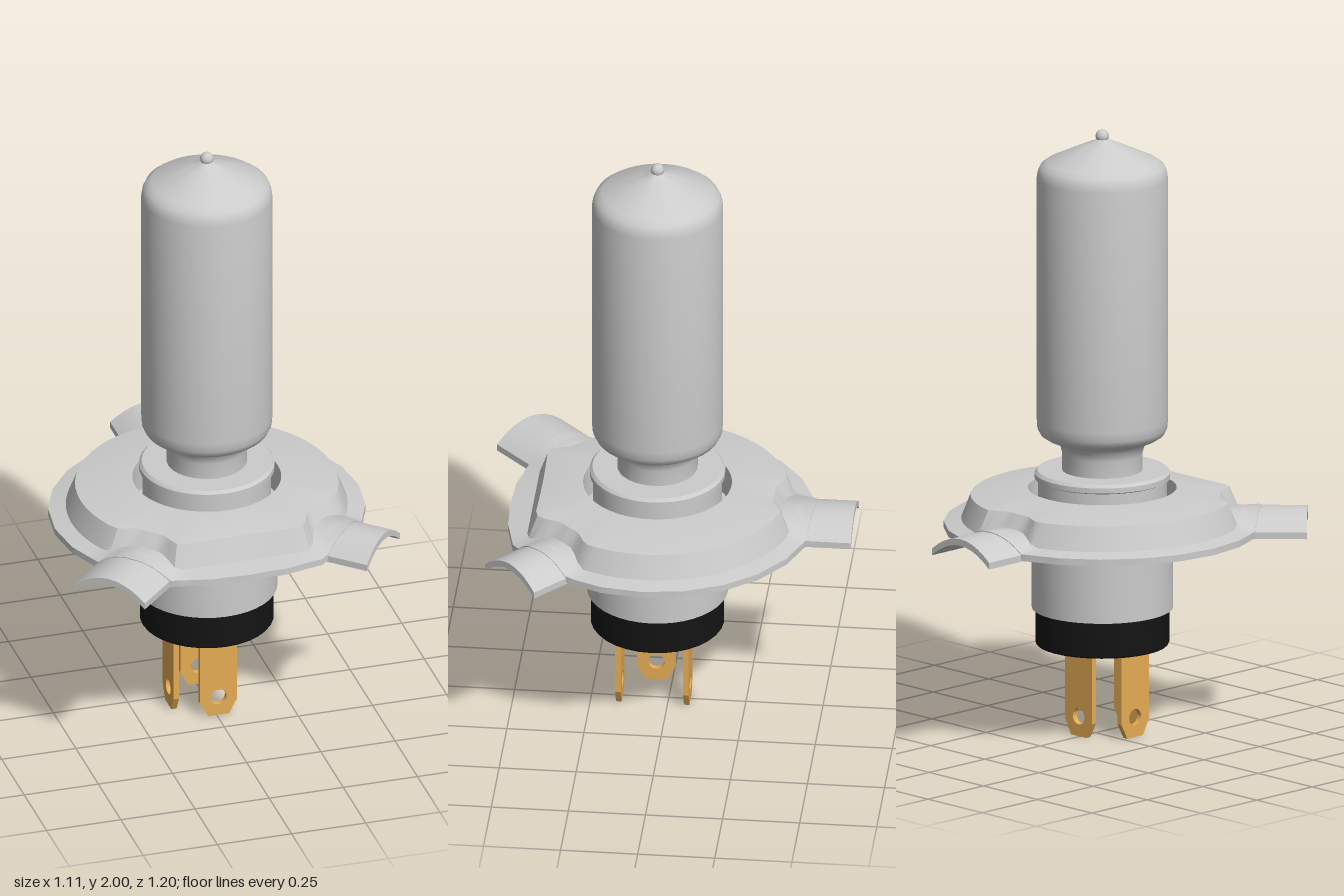
import * as THREE from 'three';
import { toCreasedNormals } from 'three/addons/utils/BufferGeometryUtils.js';

const grey = new THREE.MeshStandardMaterial({ color: 0xcccccc });
const black = new THREE.MeshStandardMaterial({ color: 0x141414 });
const brass = new THREE.MeshStandardMaterial({ color: 0xe6ac55 });

// Locating tabs: heading from +z, half width, reach from the axis
const TABS = [
  { angle: 0.82, half: 0.12, reach: 0.635 },
  { angle: -0.79, half: 0.131, reach: 0.662 },
  { angle: Math.PI, half: 0.132, reach: 0.64 },
];
const ARCH = 0.055;
const clamp = THREE.MathUtils.clamp;

function mesh(name, geometry, material = grey) {
  const m = new THREE.Mesh(geometry, material);
  m.name = name;
  return m;
}

// Turned part, with creases kept sharp
function lathe(name, profile, material, segments = 40) {
  const pts = profile.map(([r, y]) => new THREE.Vector2(r, y));
  return mesh(name, toCreasedNormals(new THREE.LatheGeometry(pts, segments), 0.6), material);
}

// Skin over rows of points; each row is a closed loop of equal length
function skin(rows, closed) {
  const n = rows[0].length, index = [];
  const last = closed ? rows.length : rows.length - 1;
  for (let i = 0; i < last; i++) {
    const k = (i + 1) % rows.length;
    for (let j = 0; j < n; j++) {
      const l = (j + 1) % n;
      const a = i * n + j, b = i * n + l, c = k * n + l, d = k * n + j;
      index.push(a, c, b, a, d, c);
    }
  }
  const g = new THREE.BufferGeometry();
  g.setAttribute('position', new THREE.Float32BufferAttribute(rows.flat(2), 3));
  g.setIndex(index);
  return toCreasedNormals(g, 0.5);
}

// Height of the tab arches where they run into the plate
function archAt(x, z) {
  let h = 0;
  for (const { angle, half } of TABS) {
    const s = Math.sin(angle), c = Math.cos(angle);
    const u = (x * c - z * s) / half, v = x * s + z * c;
    if (Math.abs(u) < 1) h = Math.max(h, ARCH * (1 - u * u) * clamp((v - 0.28) / 0.2, 0, 1));
  }
  return h;
}

// 24-sided rim, slightly flattened at the front
function rimRadius(t) {
  const step = Math.PI / 12;
  const off = Math.abs(t % step) - step / 2;
  const r = 0.512 * Math.cos(step / 2) / Math.cos(off);
  return Math.abs(t) < Math.PI / 6 ? r - 0.032 * Math.cos(3 * t) : r;
}

// Raised centre: round, flat at the front, notched at each tab
function domeRadius(t) {
  let r = 0.455;
  if (Math.cos(t) > 0.5) r = Math.min(r, 0.402 / Math.cos(t));
  for (const { angle } of TABS) {
    const d = Math.abs(Math.atan2(Math.sin(t - angle), Math.cos(t - angle)));
    r -= 0.045 * clamp((0.27 - d) / 0.15, 0, 1);
  }
  return r;
}

function plateGeometry() {
  const rows = [], n = 96;
  for (let i = 0; i < n; i++) {
    const t = -Math.PI + (i / n) * Math.PI * 2;
    const rim = rimRadius(t), dome = domeRadius(t);
    const section = [
      [0.2, 0.675, 0], [0.3, 0.675, 1], [0.4, 0.675, 1], [rim, 0.675, 1],
      [rim, 0.697, 1], [dome, 0.708, 1], [dome - 0.03, 0.786, 0],
      [0.25, 0.81, 0], [0.24, 0.81, 0], [0.24, 0.7, 0], [0.2, 0.7, 0],
    ];
    rows.push(section.map(([r, y, lift]) => {
      const x = r * Math.sin(t), z = r * Math.cos(t);
      return [x, y + lift * archAt(x, z), z];
    }));
  }
  return skin(rows, true);
}

// Arched tab: closed strip section swept outward, closed at its outer end
function tabGeometry({ half, reach }) {
  const n = 10;
  const row = (v, thick) => {
    const side = (y) => Array.from({ length: n + 1 }, (_, i) => {
      const u = (i / n) * 2 - 1;
      return [u * half, y + ARCH * (1 - u * u), v];
    });
    return [...side(0.683 + thick / 2), ...side(0.683 - thick / 2).reverse()];
  };
  return skin([row(0.45, 0.022), row(0.55, 0.022), row(reach, 0.022), row(reach, 0)], false);
}

// Flat blade with a clipped end and a round hole
function bladeGeometry() {
  const s = new THREE.Shape();
  [[-0.062, 0.31], [-0.062, 0.05], [-0.035, 0], [0.035, 0], [0.062, 0.05], [0.062, 0.31]]
    .forEach(([x, y], i) => (i ? s.lineTo(x, y) : s.moveTo(x, y)));
  const hole = new THREE.Path();
  hole.absarc(0, 0.066, 0.027, 0, Math.PI * 2, true);
  s.holes.push(hole);
  const g = new THREE.ExtrudeGeometry(s, { depth: 0.018, bevelEnabled: false, curveSegments: 10 });
  return g.translate(0, 0, -0.009);
}

export function createModel() {
  const model = new THREE.Group();
  model.name = 'headlampBulb';
  const body = new THREE.Group();
  body.name = 'body';
  body.position.set(0.006, 0, 0.036);
  model.add(body);

  // Glass envelope and its sealed tip
  body.add(lathe('glassEnvelope', [
    [0.13, 0.86], [0.13, 0.925], [0.136, 0.95], [0.152, 0.967], [0.18, 0.977], [0.2, 0.99],
    [0.21, 1.01], [0.212, 1.04], [0.212, 1.84], [0.209, 1.86], [0.2, 1.88], [0.18, 1.895],
    [0.06, 1.95], [0.025, 1.964], [0.012, 1.975],
  ], grey));
  const tip = mesh('glassTip', new THREE.SphereGeometry(0.022, 16, 10));
  tip.position.y = 1.978;
  body.add(tip);

  // Collar holding the glass
  body.add(lathe('collar', [
    [0.208, 0.69], [0.208, 0.838], [0.219, 0.843], [0.219, 0.86], [0.21, 0.87], [0, 0.87],
  ], grey));

  // Mounting plate and tabs
  body.add(mesh('mountingPlate', plateGeometry()));
  for (const tab of TABS) {
    const m = mesh('locatingTab', tabGeometry(tab));
    m.rotation.y = tab.angle;
    body.add(m);
  }

  // Metal base and insulator
  body.add(lathe('baseSleeve', [[0, 0.412], [0.228, 0.412], [0.228, 0.7], [0, 0.7]], grey));
  body.add(lathe('insulator', [
    [0, 0.292], [0.212, 0.292], [0.216, 0.297], [0.216, 0.408], [0.212, 0.413], [0, 0.413],
  ], black, 32));

  // Terminal blades: front, back and side
  const blade = bladeGeometry();
  for (const [name, x, z, turn] of [
    ['frontTerminal', 0.006, 0.158, 0],
    ['backTerminal', 0.006, -0.062, 0],
    ['sideTerminal', -0.12, 0.052, Math.PI / 2],
  ]) {
    const m = mesh(name, blade, brass);
    m.position.set(x, 0, z);
    m.rotation.y = turn;
    model.add(m);
  }
  return model;
}
